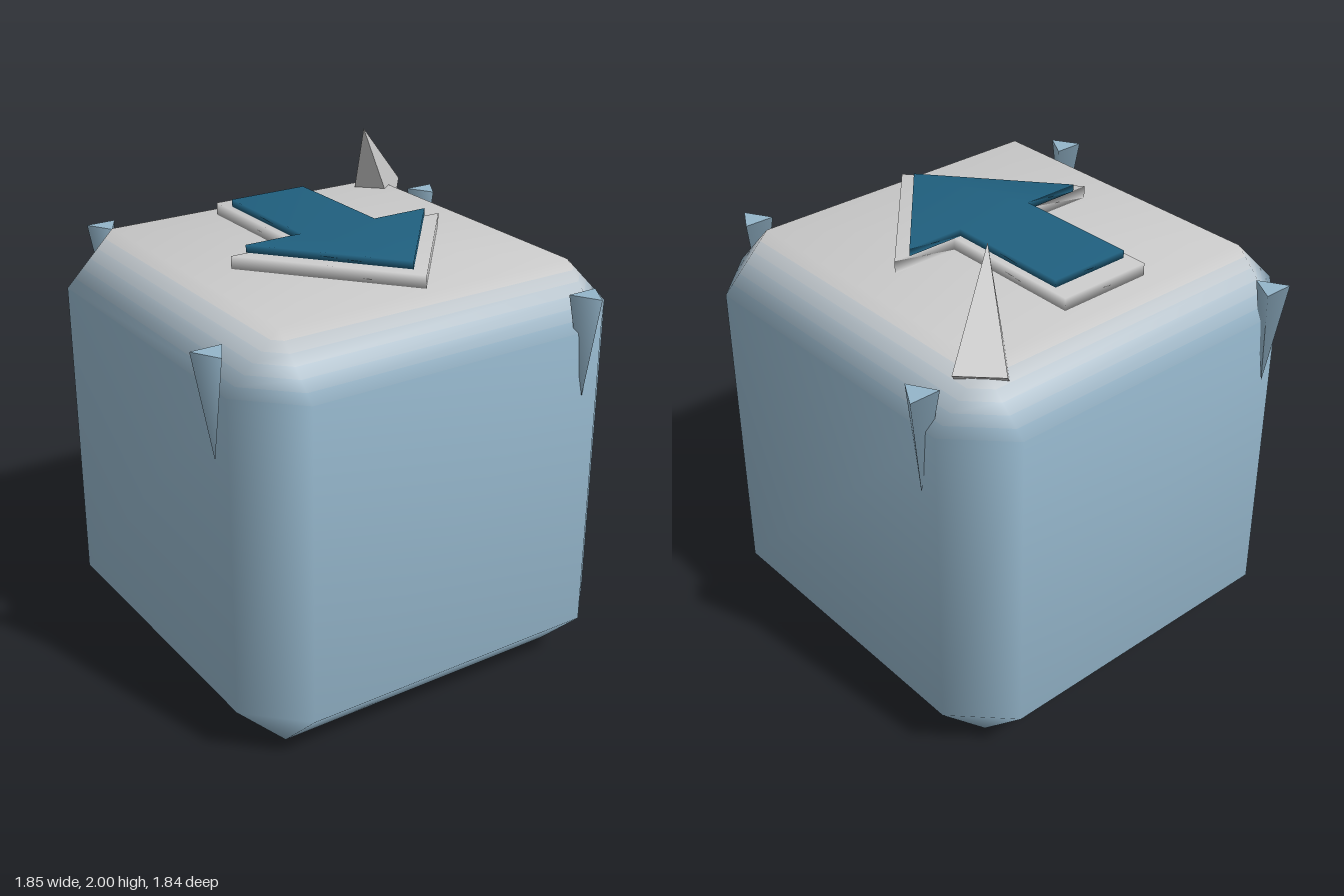
import * as THREE from 'three';
import { mergeVertices } from 'three/addons/utils/BufferGeometryUtils.js';

const GREY = 0xcccccc, ICE = 0x94b5ca, BLUE = 0x20607f;
const HALF = 0.85, INNER = 0.64, HEIGHT = 1.7, BEVEL = HALF - INNER;
const lerp = THREE.MathUtils.lerp;

function addMesh(parent, name, geometry, color, options = {}) {
  const mesh = new THREE.Mesh(geometry, new THREE.MeshStandardMaterial({ color, ...options }));
  mesh.name = name;
  parent.add(mesh);
  return mesh;
}

// Cross-section of the bevelled block: t = 0 on the side wall, t = 1 on the cap
function section(t, top) {
  const s = top ? 1 : -1;
  return {
    a: lerp(HALF, INNER, t), b: INNER,
    y: HEIGHT / 2 + s * (HEIGHT / 2 - BEVEL * (1 - t)),
    na: lerp(0.98, 0.14, t), nb: 0.14, ny: s * lerp(0.14, 0.98, t),
  };
}

const capCentre = (top) => ({ a: 0, b: 0, y: top ? HEIGHT : 0, na: 0, nb: 0, ny: top ? 1 : -1 });

// Skin eight-point sections, from the lowest to the highest
function skin(sections) {
  const pos = [], nor = [], index = [];
  for (const { a, b, y, na, nb, ny } of sections) {
    for (let k = 0; k < 4; k++) {
      for (const side of [-1, 1]) {
        let [x, z, nx, nz] = [a, side * b, na, side * nb];
        for (let turn = 0; turn < k; turn++) [x, z, nx, nz] = [-z, x, -nz, nx];
        pos.push(x, y, z);
        nor.push(...new THREE.Vector3(nx, ny, nz).normalize().toArray());
      }
    }
  }
  for (let r = 0; r < sections.length - 1; r++) {
    for (let i = 0; i < 8; i++) {
      const l0 = r * 8 + i, l1 = r * 8 + (i + 1) % 8;
      index.push(l0, l0 + 8, l1, l1, l0 + 8, l1 + 8);
    }
  }
  const g = new THREE.BufferGeometry();
  g.setAttribute('position', new THREE.Float32BufferAttribute(pos, 3));
  g.setAttribute('normal', new THREE.Float32BufferAttribute(nor, 3));
  g.setIndex(index);
  return g;
}

// Arrow lying flat and pointing to +z, with softly shaded edges
function arrowGeometry(headHalf, shaftHalf, back, neck, tip, depth) {
  const shape = new THREE.Shape([
    [-shaftHalf, back], [shaftHalf, back], [shaftHalf, neck], [headHalf, neck],
    [0, tip], [-headHalf, neck], [-shaftHalf, neck],
  ].map(([x, z]) => new THREE.Vector2(x, -z)));
  const g = new THREE.ExtrudeGeometry(shape, { depth, bevelEnabled: false });
  g.rotateX(-Math.PI / 2);
  g.deleteAttribute('normal');
  g.deleteAttribute('uv');
  const smooth = mergeVertices(g);
  smooth.computeVertexNormals();
  return smooth;
}

export function createModel() {
  const model = new THREE.Group();
  model.name = 'arrowBlock';

  // Block body with bevelled edges and cut corners
  const block = new THREE.Group();
  block.name = 'block';
  model.add(block);
  addMesh(block, 'blockBody', skin([capCentre(false), section(1, false), section(0, false), section(0, true)]), ICE);

  // Upper bevel, fading from the wall colour to the pale top
  const bands = 6;
  for (let i = 0; i < bands; i++) {
    const color = new THREE.Color(ICE).lerp(new THREE.Color(GREY), (i + 0.5) / bands);
    addMesh(block, 'upperBevel', skin([section(i / bands, true), section((i + 1) / bands, true)]), color);
  }
  addMesh(block, 'blockTop', skin([section(1, true), capCentre(true)]), GREY);

  // Raised arrow on its pale backing
  addMesh(model, 'arrowBacking', arrowGeometry(0.48, 0.197, -0.57, 0.04, 0.61, 0.05), GREY)
    .position.y = HEIGHT;
  addMesh(model, 'arrow', arrowGeometry(0.413, 0.17, -0.49, 0.035, 0.53, 0.03), BLUE)
    .position.y = HEIGHT + 0.05;

  // Three-sided icicles hanging on the walls
  const icicle = new THREE.ConeGeometry(0.073, 0.41, 3);
  icicle.rotateZ(Math.PI);
  for (const [x, z] of [[0.56, 0.857], [0.857, -0.567], [-0.567, -0.87], [-0.862, 0.567]]) {
    addMesh(model, 'icicle', icicle, ICE).position.set(x, 1.435, z);
  }

  // Leaning four-sided spike on the back corner
  const spike = new THREE.ConeGeometry(0.132, 0.468, 4);
  spike.rotateY(Math.PI / 4).rotateX(0.666).rotateY(-Math.PI / 4);
  addMesh(model, 'cornerSpike', spike, GREY, { flatShading: true }).position.set(0.539, 1.816, -0.535);

  return model;
}
